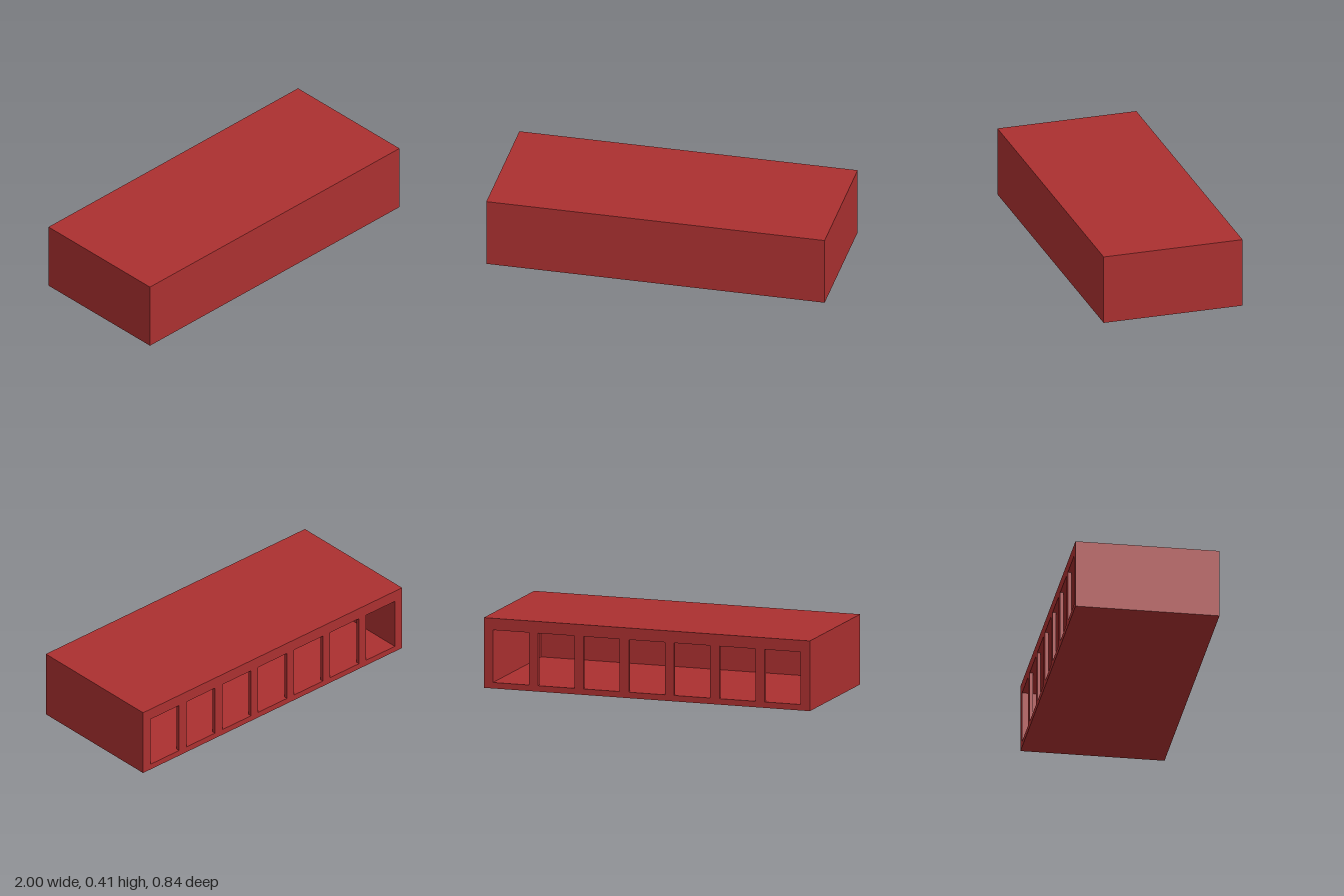
import * as THREE from 'three';

const W = 2, H = 0.412, D = 0.84;          // overall size
const SIDE = 0.056, FLOOR = 0.035, ROOF = 0.069; // wall thicknesses
const FRONT = 0.035, PANEL = 0.02;
const COUNT = 7;

function rect(Type, x0, y0, x1, y1) {
  const s = new Type();
  s.moveTo(x0, y0);
  s.lineTo(x1, y0);
  s.lineTo(x1, y1);
  s.lineTo(x0, y1);
  s.closePath();
  return s;
}

export function createModel() {
  const group = new THREE.Group();
  group.name = 'slottedCase';
  const material = new THREE.MeshStandardMaterial({ color: 0xab3030 });

  // Outer rectangle with holes, extruded along z
  const addFrame = (name, holes, z0, z1) => {
    const shape = rect(THREE.Shape, -W / 2, 0, W / 2, H);
    shape.holes.push(...holes);
    const geometry = new THREE.ExtrudeGeometry(shape, { depth: z1 - z0, bevelEnabled: false });
    const mesh = new THREE.Mesh(geometry, material);
    mesh.name = name;
    mesh.position.z = z0;
    group.add(mesh);
  };
  const opening = (x0, x1) => rect(THREE.Path, x0, FLOOR, x1, H - ROOF);

  // Floor, roof and end walls around one shared cavity
  addFrame('shell', [opening(-W / 2 + SIDE, W / 2 - SIDE)], -D / 2 + PANEL, D / 2 - FRONT);

  // Solid front wall
  addFrame('frontWall', [], D / 2 - FRONT, D / 2);

  // Thin back panel with a row of equal openings
  const width = (W - SIDE * (COUNT + 1)) / COUNT;
  const slots = Array.from({ length: COUNT }, (_, i) => {
    const x = -W / 2 + SIDE + i * (width + SIDE);
    return opening(x, x + width);
  });
  addFrame('backPanel', slots, -D / 2, -D / 2 + PANEL);

  return group;
}
